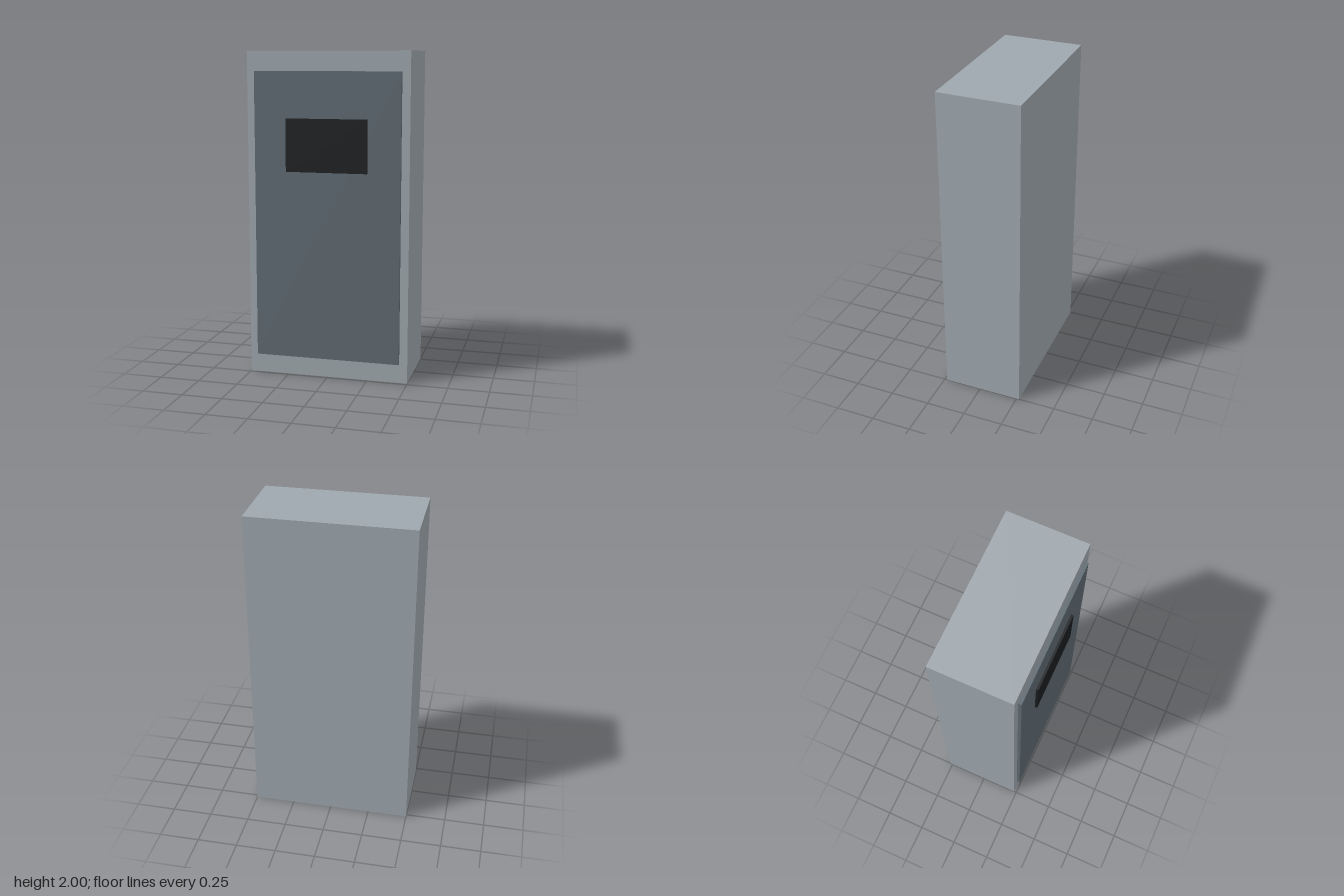
import * as THREE from 'three';

// Adds a box spanning y0..y1 and z0..z1, centred on x = 0
function addBox(group, name, color, width, [y0, y1], [z0, z1]) {
  const mesh = new THREE.Mesh(
    new THREE.BoxGeometry(width, y1 - y0, z1 - z0),
    new THREE.MeshStandardMaterial({ color })
  );
  mesh.name = name;
  mesh.position.set(0, (y0 + y1) / 2, (z0 + z1) / 2);
  group.add(mesh);
}

export function createModel() {
  const group = new THREE.Group();
  group.name = 'cabinet';

  // Main housing
  addBox(group, 'body', 0x9ea7ad, 1, [0, 2], [-0.2675, 0.2325]);
  // Raised door on the front
  addBox(group, 'frontPanel', 0x5f6a72, 0.9, [0.12, 1.88], [0.2325, 0.2525]);
  // Dark display on the door
  addBox(group, 'screen', 0x1a1d1f, 0.5, [1.28, 1.6], [0.2525, 0.2675]);

  return group;
}
